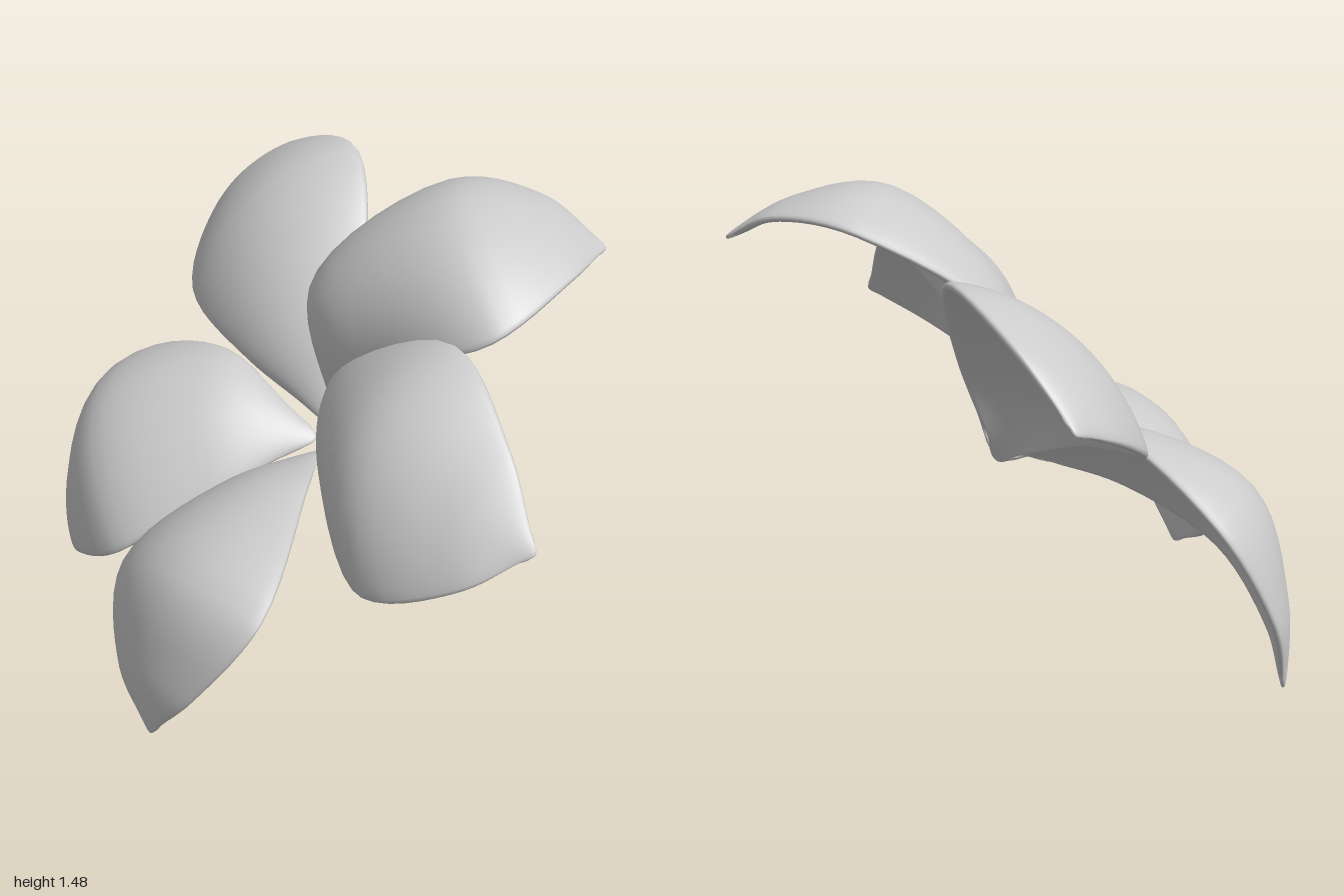
import * as THREE from 'three';

const ROWS = 40, RING = 48, HALF_THICKNESS = 0.023;

// Guide points of each petal: base and tip, then two points each along
// one side, the domed middle and the other side.
const PETALS = [
  { name: 'rightPetal', base: [0.03, 0.68, -0.07], tip: [1.0, 0.85, 0.49],
    sideA: [[0.12, 0.98, 0.06], [0.57, 1.24, 0.17]],
    middle: [[0.17, 0.86, 0.25], [0.43, 1.0, 0.46]],
    sideB: [[0.25, 0.64, 0.33], [0.52, 0.6, 0.61]] },
  { name: 'frontPetal', base: [0, 0.61, -0.02], tip: [-0.1, 0.01, 0.84],
    sideA: [[0.14, 0.67, 0.3], [0.28, 0.53, 0.79]],
    middle: [[-0.05, 0.64, 0.32], [-0.12, 0.52, 0.7]],
    sideB: [[-0.22, 0.54, 0.22], [-0.44, 0.31, 0.47]] },
  { name: 'leftPetal', base: [-0.05, 0.62, -0.08], tip: [-0.97, 0, 0.05],
    sideA: [[-0.28, 0.47, 0.2], [-0.54, 0.26, 0.37]],
    middle: [[-0.4, 0.7, 0.05], [-0.78, 0.58, 0.13]],
    sideB: [[-0.45, 0.79, -0.17], [-0.88, 0.6, -0.24]] },
  { name: 'backLeftPetal', base: [-0.05, 0.62, -0.18], tip: [-0.81, 1.07, -0.88],
    sideA: [[-0.4, 0.75, -0.22], [-0.73, 0.84, -0.4]],
    middle: [[-0.24, 0.91, -0.25], [-0.53, 1.18, -0.5]],
    sideB: [[-0.05, 1.0, -0.38], [-0.26, 1.35, -0.71]] },
  { name: 'backRightPetal', base: [0.01, 0.66, -0.13], tip: [0.72, 1.3, -0.54],
    sideA: [[-0.16, 1.08, -0.26], [0.18, 1.39, -0.56]],
    middle: [[0, 1.1, -0.07], [0.34, 1.43, -0.2]],
    sideB: [[0.22, 0.97, 0], [0.63, 1.21, 0.05]] },
];

// Curve from base to tip, bulging outward before the tip. Blunted curves
// stop short of both ends, which rounds the corners of the petal.
function guideCurve(base, tip, side, bulge, bluntBase, bluntTip) {
  const [b, t, p, q] = [base, tip, ...side].map((c) => new THREE.Vector3(...c));
  const outer = q.clone().lerp(t, 0.5);
  outer.addScaledVector(outer.clone().sub(b), bulge);
  const start = b.clone().lerp(p, bluntBase);
  const end = t.clone().lerp(outer, bluntTip);
  return new THREE.CatmullRomCurve3([start, p, q, outer, end]);
}

// A closed shell: cupped cross-sections run from the base to the tip.
function petalGeometry({ base, tip, sideA, middle, sideB }) {
  const a = guideCurve(base, tip, sideA, 0.08, 0.22, 0.13);
  const m = guideCurve(base, tip, middle, 0.06, 0, 0);
  const b = guideCurve(base, tip, sideB, 0.09, 0.22, 0.13);

  // Parabola through the three guide curves
  const surface = (u, v) => new THREE.Vector3()
    .addScaledVector(a.getPoint(u), (1 - v) * (1 - 2 * v))
    .addScaledVector(m.getPoint(u), 4 * v * (1 - v))
    .addScaledVector(b.getPoint(u), v * (2 * v - 1));

  const upward = (u, v) => {
    const e = 0.002;
    const along = surface(Math.min(u + e, 1), v).sub(surface(Math.max(u - e, 0), v));
    const across = surface(u, v + e).sub(surface(u, v - e));
    return across.cross(along).normalize();
  };

  const positions = [], index = [];
  for (let i = 0; i <= ROWS; i++) {
    // Rows crowd towards both ends, where the rim rounds off
    const u = 0.5 - 0.5 * Math.cos((Math.PI * i) / ROWS);
    const height = HALF_THICKNESS * Math.pow(Math.max(0, 4 * u * (1 - u)), 0.35);
    for (let j = 0; j < RING; j++) {
      const angle = (2 * Math.PI * j) / RING;
      const v = 0.5 - 0.5 * Math.cos(angle);
      const s = Math.sin(angle);
      const point = surface(u, v);
      // Thickness vanishes at both sides
      if (i > 0 && i < ROWS) {
        point.addScaledVector(upward(u, v), height * Math.sign(s) * Math.sqrt(Math.abs(s)));
      }
      positions.push(point.x, point.y, point.z);
      if (i < ROWS) {
        const p = i * RING + j, q = i * RING + ((j + 1) % RING);
        index.push(p, q, p + RING, q, q + RING, p + RING);
      }
    }
  }
  const geometry = new THREE.BufferGeometry();
  geometry.setAttribute('position', new THREE.Float32BufferAttribute(positions, 3));
  geometry.setIndex(index);
  geometry.computeVertexNormals();
  return geometry;
}

export function createModel() {
  const flower = new THREE.Group();
  flower.name = 'flower';
  const material = new THREE.MeshStandardMaterial({ color: 0xcccccc });
  for (const petal of PETALS) {
    const mesh = new THREE.Mesh(petalGeometry(petal), material);
    mesh.name = petal.name;
    flower.add(mesh);
  }
  return flower;
}
